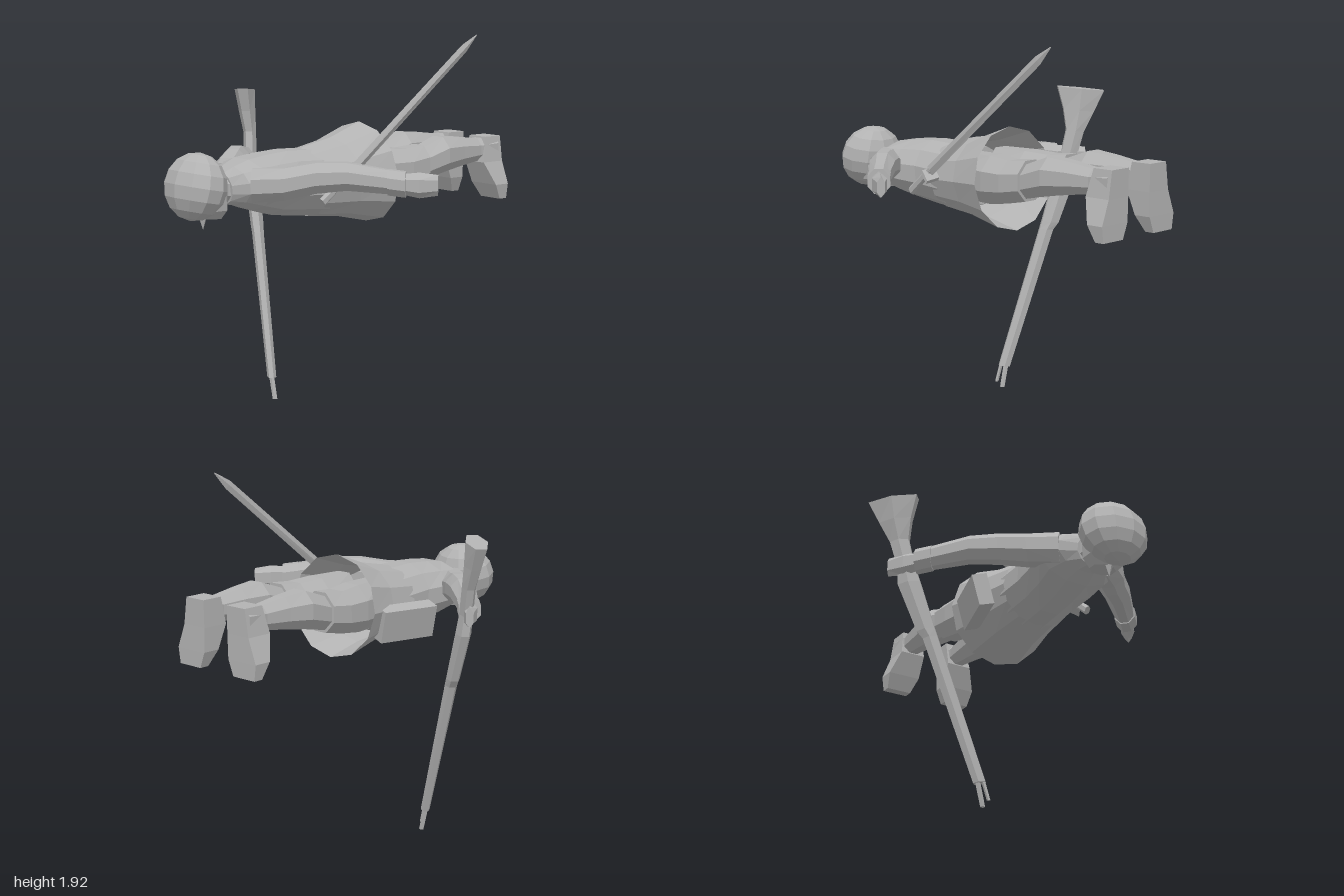
import * as THREE from 'three';

const grey = new THREE.MeshStandardMaterial({ color: 0xb2b2b2, flatShading: true });
grey.name = 'plain grey';
const greyOpen = grey.clone();
greyOpen.side = THREE.DoubleSide;
const X = [1, 0, 0], Y = [0, 1, 0], Z = [0, 0, 1];
const MID = 0.04; // mirror plane of the body

// Skin elliptical rings [x, y, z, halfU, halfV] lying in the plane of U and V
function loft(rings, U, V, n, capped = true, turn = 0.5) {
  const u = new THREE.Vector3(...U), v = new THREE.Vector3(...V);
  const pos = [], idx = [];
  for (const [x, y, z, a, b] of rings) {
    for (let i = 0; i < n; i++) {
      const t = ((i + turn) / n) * Math.PI * 2;
      const p = new THREE.Vector3(x, y, z)
        .addScaledVector(u, a * Math.cos(t)).addScaledVector(v, b * Math.sin(t));
      pos.push(p.x, p.y, p.z);
    }
  }
  const first = new THREE.Vector3(...rings[0].slice(0, 3));
  const last = new THREE.Vector3(...rings[rings.length - 1].slice(0, 3));
  const flip = u.clone().cross(v).dot(last.clone().sub(first)) < 0;
  const tri = (a, b, c) => (flip ? idx.push(a, c, b) : idx.push(a, b, c));
  for (let r = 0; r < rings.length - 1; r++) {
    for (let i = 0; i < n; i++) {
      const j = (i + 1) % n, a = r * n, b = a + n;
      tri(a + i, a + j, b + j);
      tri(a + i, b + j, b + i);
    }
  }
  if (capped) {
    const e = (rings.length - 1) * n;
    for (let i = 1; i < n - 1; i++) {
      tri(0, i + 1, i);
      tri(e, e + i, e + i + 1);
    }
  }
  const g = new THREE.BufferGeometry();
  g.setAttribute('position', new THREE.Float32BufferAttribute(pos, 3));
  g.setIndex(idx);
  g.computeVertexNormals();
  return g;
}

export function createModel() {
  const model = new THREE.Group();
  const add = (name, geometry, material = grey) => {
    const m = new THREE.Mesh(geometry, material);
    m.name = name;
    model.add(m);
    return m;
  };

  // Torso and flared coat skirt, lying face down
  const lean = [0, 1, 0.1];
  add('torso', loft([
    [MID, 1.22, 0.70, 0.09, 0.08], [MID, 1.23, 0.65, 0.17, 0.10],
    [MID, 1.23, 0.57, 0.23, 0.13], [MID, 1.22, 0.46, 0.215, 0.155],
    [MID, 1.215, 0.32, 0.20, 0.17], [MID, 1.205, 0.16, 0.205, 0.175],
    [MID, 1.22, 0.02, 0.17, 0.15],
  ], X, lean, 12));
  add('coatSkirt', loft([
    [MID, 1.205, 0.20, 0.205, 0.175], [MID, 1.215, 0.0, 0.235, 0.205],
    [MID, 1.227, -0.195, 0.28, 0.262],
  ], X, lean, 12, false, 0), greyOpen);

  // Neck and head
  add('neck', loft([
    [MID, 1.22, 0.64, 0.09, 0.09], [MID, 1.22, 0.71, 0.075, 0.075],
    [0.045, 1.23, 0.8, 0.08, 0.08],
  ], X, Y, 8));
  const head = add('head', new THREE.SphereGeometry(1, 11, 8));
  head.scale.set(0.185, 0.165, 0.138);
  head.rotation.x = -0.2;
  head.position.set(0.05, 1.243, 0.862);
  add('jaw', loft([
    [0.05, 1.24, 0.81, 0.13, 0.11], [0.05, 1.13, 0.785, 0.115, 0.085],
    [0.045, 1.085, 0.775, 0.07, 0.055],
  ], X, Z, 8));
  const nose = add('nose', new THREE.ConeGeometry(0.03, 0.08, 4));
  nose.rotation.x = Math.PI;
  nose.position.set(0.05, 1.07, 0.82);

  for (const [side, s] of [['right', -1], ['left', 1]]) {
    const at = (d, y, z, a, b) => [MID + s * d, y, z, a, b];

    // Arm swept outward, with a cuff and a hand
    const across = [s * 0.68, 0, 0.73];
    add(side + 'Arm', loft([
      at(0.12, 1.24, 0.60, 0.08, 0.09), at(0.24, 1.25, 0.495, 0.085, 0.085),
      at(0.34, 1.28, 0.385, 0.075, 0.08), at(0.45, 1.29, 0.285, 0.07, 0.072),
      at(0.62, 1.262, 0.12, 0.052, 0.06),
    ], across, Y, 8));
    add(side + 'Cuff', loft([
      at(0.59, 1.265, 0.15, 0.06, 0.066), at(0.65, 1.255, 0.09, 0.06, 0.066),
    ], across, Y, 8));
    add(side + 'Hand', loft([
      at(0.64, 1.255, 0.10, 0.035, 0.05), at(0.69, 1.25, 0.04, 0.042, 0.062),
      at(0.745, 1.25, -0.03, 0.022, 0.05),
    ], across, Y, 6));

    // Thigh, boot and foot
    add(side + 'Thigh', loft([
      at(0.11, 1.24, 0.0, 0.10, 0.13), at(0.125, 1.24, -0.2, 0.125, 0.13),
      at(0.145, 1.245, -0.33, 0.112, 0.115), at(0.15, 1.262, -0.45, 0.1, 0.108),
    ], X, Y, 8));
    add(side + 'Boot', loft([
      at(0.148, 1.255, -0.43, 0.085, 0.09), at(0.148, 1.30, -0.59, 0.1, 0.102),
      at(0.148, 1.305, -0.72, 0.078, 0.085), at(0.148, 1.305, -0.86, 0.06, 0.065),
      at(0.148, 1.31, -0.98, 0.07, 0.068),
    ], X, Y, 8));
    add(side + 'Foot', loft([
      at(0.14, 1.375, -0.945, 0.085, 0.078), at(0.15, 1.24, -0.93, 0.1, 0.098),
      at(0.175, 1.12, -0.955, 0.13, 0.064), at(0.185, 1.04, -0.975, 0.10, 0.035),
    ], X, Z, 4));
  }

  // Pouch hanging on the right hip
  const pouch = add('hipPouch', new THREE.BoxGeometry(0.08, 0.17, 0.31));
  pouch.rotation.set(0, -0.28, 0.25);
  pouch.position.set(-0.235, 1.15, 0.04);

  // Long gun: flat butt, slim wrist, fore-end, then barrel and rod tips
  const wide = [0.75, 0.1, 0.66], thin = [-0.66, 0, 0.75];
  add('gunStock', loft([
    [-0.708, 1.617, 0.01, 0.145, 0.055], [-0.69, 1.5, 0.008, 0.095, 0.045],
    [-0.665, 1.39, 0.01, 0.055, 0.035], [-0.635, 1.25, 0.03, 0.05, 0.035],
    [-0.615, 1.15, 0.035, 0.065, 0.04], [-0.53, 0.9, 0.065, 0.052, 0.035],
    [-0.51, 0.86, 0.075, 0.042, 0.032], [-0.275, 0.12, 0.165, 0.034, 0.024],
  ], wide, thin, 6));
  add('gunBarrel', loft([
    [-0.29, 0.15, 0.16, 0.014, 0.014], [-0.255, 0.005, 0.16, 0.013, 0.013],
  ], X, Z, 5));
  add('gunRod', loft([
    [-0.265, 0.14, 0.175, 0.01, 0.01], [-0.235, 0.035, 0.183, 0.009, 0.009],
  ], X, Z, 4));

  // Sword on the left hip, blade rising toward the feet
  const edge = [0, 0.78, 0.62];
  add('swordBlade', loft([
    [0.31, 1.26, 0.13, 0.014, 0.028], [0.338, 1.86, -0.627, 0.009, 0.024],
    [0.342, 1.925, -0.71, 0.002, 0.003],
  ], X, edge, 4, true, 0));
  add('swordGrip', loft([
    [0.295, 1.14, 0.282, 0.016, 0.024], [0.31, 1.27, 0.12, 0.015, 0.02],
  ], X, edge, 6));
  const guard = add('swordGuard', new THREE.CylinderGeometry(0.085, 0.085, 0.018, 4));
  guard.scale.set(1, 1, 0.55);
  guard.rotation.set(-0.5, 0.65, 0);
  guard.position.set(0.312, 1.24, 0.125);

  return model;
}
